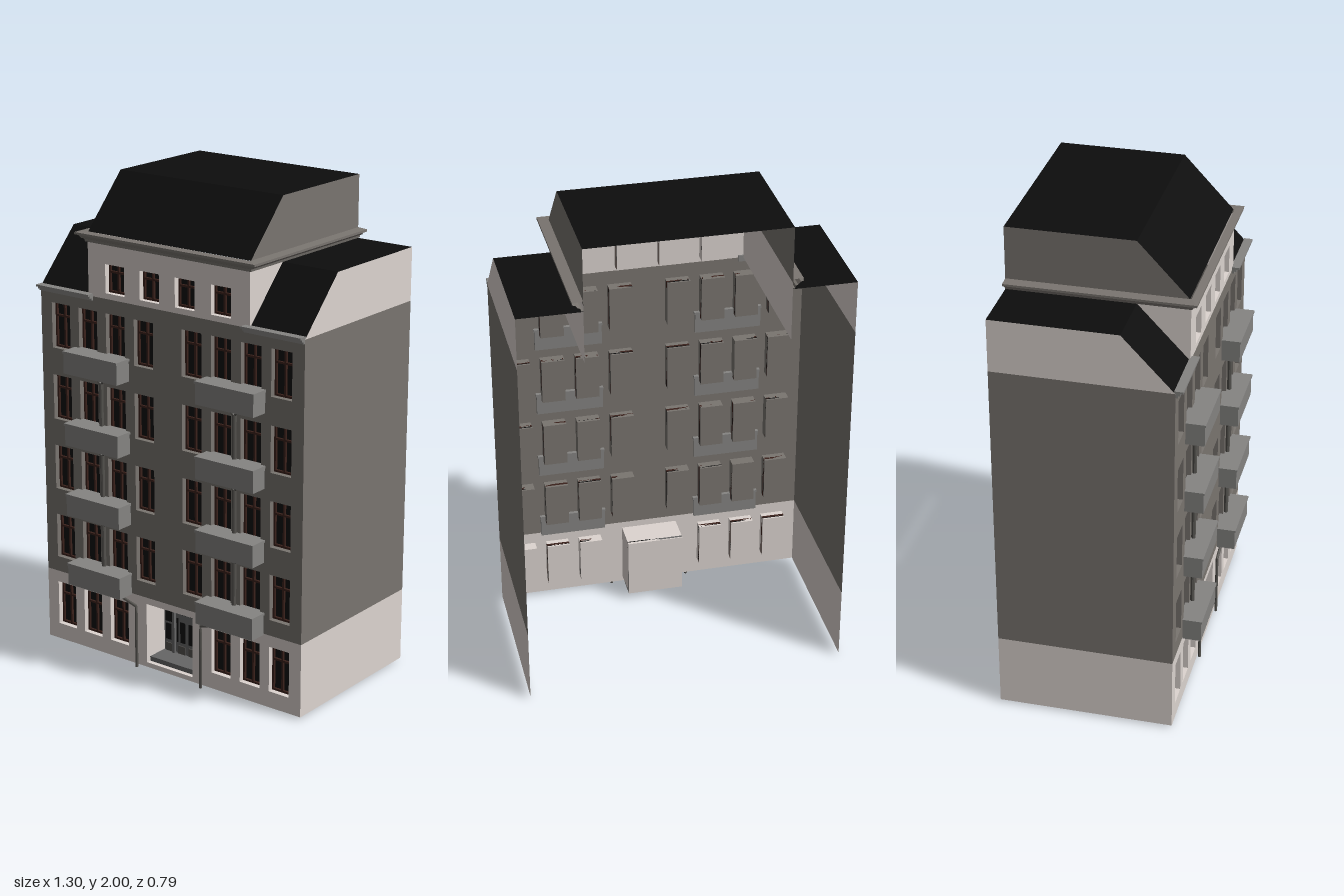
import * as THREE from 'three';

const mat = (color) => new THREE.MeshStandardMaterial({ color, side: THREE.DoubleSide, flatShading: true });
const M = {
  light: mat(0xddd5d0), grey: mat(0x7a7570), roof: mat(0x0d0d0d), balcony: mat(0x858482),
  glass: mat(0x0d0d0d), frame: mat(0x3a211b), door: mat(0x666666), pipe: mat(0x55534f),
};
const W = 0.65, D = 0.397, F = 0.315, B = -0.393; // half width, half dormer width, front, back

function add(parent, name, geo, material, x = 0, y = 0, z = 0) {
  const m = new THREE.Mesh(geo, material);
  m.name = name;
  m.position.set(x, y, z);
  parent.add(m);
  return m;
}
const box = (p, name, material, x0, x1, y0, y1, z0, z1) =>
  add(p, name, new THREE.BoxGeometry(x1 - x0, y1 - y0, z1 - z0), material,
    (x0 + x1) / 2, (y0 + y1) / 2, (z0 + z1) / 2);

// Flat polygon from outline points, with rectangular holes [x0, x1, y0, y1]
function panel(points, holes = []) {
  const s = new THREE.Shape(points.map(([x, y]) => new THREE.Vector2(x, y)));
  for (const [x0, x1, y0, y1] of holes) {
    s.holes.push(new THREE.Path([[x0, y0], [x0, y1], [x1, y1], [x1, y0]].map((p) => new THREE.Vector2(...p))));
  }
  return new THREE.ShapeGeometry(s);
}
const rect = (x0, x1, y0, y1) => [[x0, y0], [x1, y0], [x1, y1], [x0, y1]];

// Side wall: outline given as [z, y], placed at x
function sideWall(p, name, material, x, outline) {
  const geo = panel(outline.map(([z, y]) => [-z, y]));
  geo.rotateY(Math.PI / 2);
  add(p, name, geo, material, x);
}

// Strip of quads between neighbouring rows of points
function loft(rows) {
  const v = [];
  for (let i = 0; i + 1 < rows.length; i++) {
    for (let j = 0; j + 1 < rows[i].length; j++) {
      const a = rows[i][j], b = rows[i][j + 1], c = rows[i + 1][j + 1], d = rows[i + 1][j];
      v.push(...a, ...b, ...c, ...a, ...c, ...d);
    }
  }
  const g = new THREE.BufferGeometry();
  g.setAttribute('position', new THREE.Float32BufferAttribute(v, 3));
  g.computeVertexNormals();
  return g;
}
// Roof skin: [z, y] profile stretched between two x positions
const roofSkin = (x0, x1, profile) => loft(profile.map(([z, y]) => [[x0, y, z], [x1, y, z]]));

// Box without its front face, lining an opening
function recess(p, material, [x0, x1, y0, y1], depth) {
  const m = box(p, 'recess', material, x0, x1, y0, y1, F - depth, F);
  const idx = Array.from(m.geometry.index.array);
  idx.splice(24, 6);
  m.geometry.setIndex(idx);
}

function makeWindow(p, hole, wallMat) {
  const g = new THREE.Group();
  g.name = 'window';
  p.add(g);
  const [x0, x1, y0, y1] = hole, t = 0.008, z0 = F - 0.034, z1 = F - 0.022;
  const cx = (x0 + x1) / 2, ty = y0 + (y1 - y0) * 0.68;
  recess(g, wallMat, hole, 0.045);
  box(g, 'glass', M.glass, x0, x1, y0, y1, z0 - 0.004, z0 + 0.002);
  for (const x of [x0, cx - t / 2, x1 - t]) box(g, 'stile', M.frame, x, x + t, y0, y1, z0, z1);
  for (const y of [y0, ty, y1 - t]) box(g, 'rail', M.frame, x0, x1, y, y + t, z0, z1);
}

function makeDoor(p, [x0, x1, y0, y1]) {
  const g = new THREE.Group();
  g.name = 'entrance';
  p.add(g);
  const z = F - 0.115;
  recess(g, M.light, [x0, x1, y0, y1], 0.13);
  box(g, 'doorLeaf', M.door, x0, x1, y0, y1, z - 0.01, z);
  box(g, 'step', M.door, x0, x1, y0, y0 + 0.02, z, F - 0.02);
  const pane = (a, b, c, d) => box(g, 'pane', M.glass, a, b, c, d, z - 0.002, z + 0.003);
  for (const s of [-1, 1]) {
    const mir = (a, b, c, d) => pane(Math.min(s * a, s * b), Math.max(s * a, s * b), c, d);
    mir(0.004, 0.036, 0.225, 0.25);
    mir(0.076, 0.112, 0.18, 0.25);
    mir(0.01, 0.034, 0.1, 0.19);
    mir(0.045, 0.052, 0.1, 0.205);
    mir(0.082, 0.108, 0.1, 0.17);
    for (const [a, b] of [[0.01, 0.045], [0.078, 0.108]]) {
      box(g, 'lowerPanel', M.pipe, s > 0 ? a : -b, s > 0 ? b : -a, 0.045, 0.085, z, z + 0.004);
    }
    box(g, 'post', M.door, s * 0.064 - 0.006, s * 0.064 + 0.006, y0, y1 - 0.03, z, z + 0.012);
  }
  box(g, 'transomLight', M.glass, x0, x1, y1 - 0.026, y1, z - 0.002, z + 0.003);
  box(g, 'transomBar', M.door, x0, x1, y1 - 0.034, y1 - 0.026, z, z + 0.012);
}

function pipe(p, pts, r) {
  const path = new THREE.CurvePath();
  const v = pts.map((a) => new THREE.Vector3(...a));
  for (let i = 0; i + 1 < v.length; i++) path.add(new THREE.LineCurve3(v[i], v[i + 1]));
  add(p, 'drainPipe', new THREE.TubeGeometry(path, 16, r, 8), M.pipe);
}

export function createModel() {
  const model = new THREE.Group();
  model.name = 'apartmentHouse';
  const columns = [0.119, 0.262, 0.404, 0.546];
  const hole = (x, y0, y1, w = 0.096) => [x - w / 2, x + w / 2, y0, y1];
  const ground = [], upper = [], attic = [];
  for (const s of [-1, 1]) {
    for (const c of columns) {
      if (c > 0.2) ground.push(hole(s * c, 0.078, 0.267));
      for (let f = 0; f < 4; f++) upper.push(hole(s * c, 0.38 + f * 0.301, 0.568 + f * 0.301));
    }
    for (const c of [0.087, 0.261]) attic.push(hole(s * c, 1.553, 1.67));
  }
  const doorHole = [-0.118, 0.118, 0.03, 0.287];

  // Front walls and their openings
  add(model, 'groundFloorWall', panel(rect(-W, W, 0.01, 0.315), [...ground, doorHole]), M.light, 0, 0, F);
  add(model, 'facade', panel(rect(-W, W, 0.315, 1.53), upper), M.grey, 0, 0, F);
  add(model, 'atticWall', panel(rect(-D, D, 1.53, 1.77), attic), M.light, 0, 0, F);
  ground.forEach((h) => makeWindow(model, h, M.light));
  upper.forEach((h) => makeWindow(model, h, M.grey));
  attic.forEach((h) => makeWindow(model, h, M.light));
  makeDoor(model, doorHole);

  // Side walls, wing roofs, balconies and pipes, mirrored
  const wing = [[F, 1.53], [0.11, 1.745], [B, 1.745]];
  const top = [[F - 0.005, 1.787], [0.11, 2], [B, 2]];
  for (const s of [-1, 1]) {
    sideWall(model, 'sideBase', M.light, s * W, rect(B, F, 0.01, 0.315));
    sideWall(model, 'sideWall', M.grey, s * W, rect(B, F, 0.315, 1.53));
    sideWall(model, 'sideGable', M.light, s * W, [...wing, [B, 1.53]]);
    sideWall(model, 'atticSide', M.light, s * D, rect(B, F, 1.53, 1.77));
    sideWall(model, 'roofGable', M.grey, s * D, [[F - 0.005, 1.77], ...top, [B, 1.77]]);
    add(model, 'wingRoof', roofSkin(s * D, s * W, wing), M.roof);

    // Stepped eaves moulding
    const [a, b] = s > 0 ? [0.375, W] : [-W, -0.375];
    box(model, 'eavesTop', M.balcony, a, b, 1.533, 1.541, F - 0.005, F + 0.03);
    box(model, 'eavesMiddle', M.balcony, a, b, 1.523, 1.533, F - 0.005, F + 0.019);
    box(model, 'eavesBottom', M.balcony, a, b, 1.514, 1.523, F - 0.005, F + 0.009);

    for (let f = 0; f < 4; f++) {
      const y = 0.31 + f * 0.301, c = s * 0.333;
      box(model, 'balcony', M.balcony, c - 0.138, c + 0.138, y, y + 0.085, F - 0.015, 0.39);
      box(model, 'balconyRim', M.balcony, c - 0.141, c + 0.141, y + 0.083, y + 0.093, F - 0.015, 0.394);
      if (f === 0) continue;
      // Forked downpipe below each upper balcony
      pipe(model, [[c, y - 0.215, F + 0.009], [c, y - 0.03, F + 0.009]], 0.009);
      for (const k of [-1, 1]) {
        pipe(model, [[c, y - 0.035, F + 0.009], [c + k * 0.028, y - 0.008, F + 0.016], [c + k * 0.028, y + 0.002, F + 0.016]], 0.005);
      }
    }
    pipe(model, [[s * 0.27, 0.312, F + 0.008], [s * 0.27, 0.298, F + 0.008],
      [s * 0.166, 0.268, F + 0.008], [s * 0.166, 0, F + 0.008]], 0.006);
  }

  // Upper roof
  add(model, 'upperRoof', roofSkin(-D, D, top), M.roof);

  // Main cornice: profile [overhang, y] carried round three sides
  const profile = [[0, 1.748], [0.008, 1.748], [0.011, 1.759], [0.02, 1.762], [0.03, 1.774],
    [0.042, 1.776], [0.042, 1.785], [0, 1.788]];
  add(model, 'cornice', loft(profile.map(([o, y]) => {
    const x = D + o, z = F + o * 0.72;
    return [[-x, y, B], [-x, y, z], [x, y, z], [x, y, B]];
  })), M.grey);

  return model;
}
